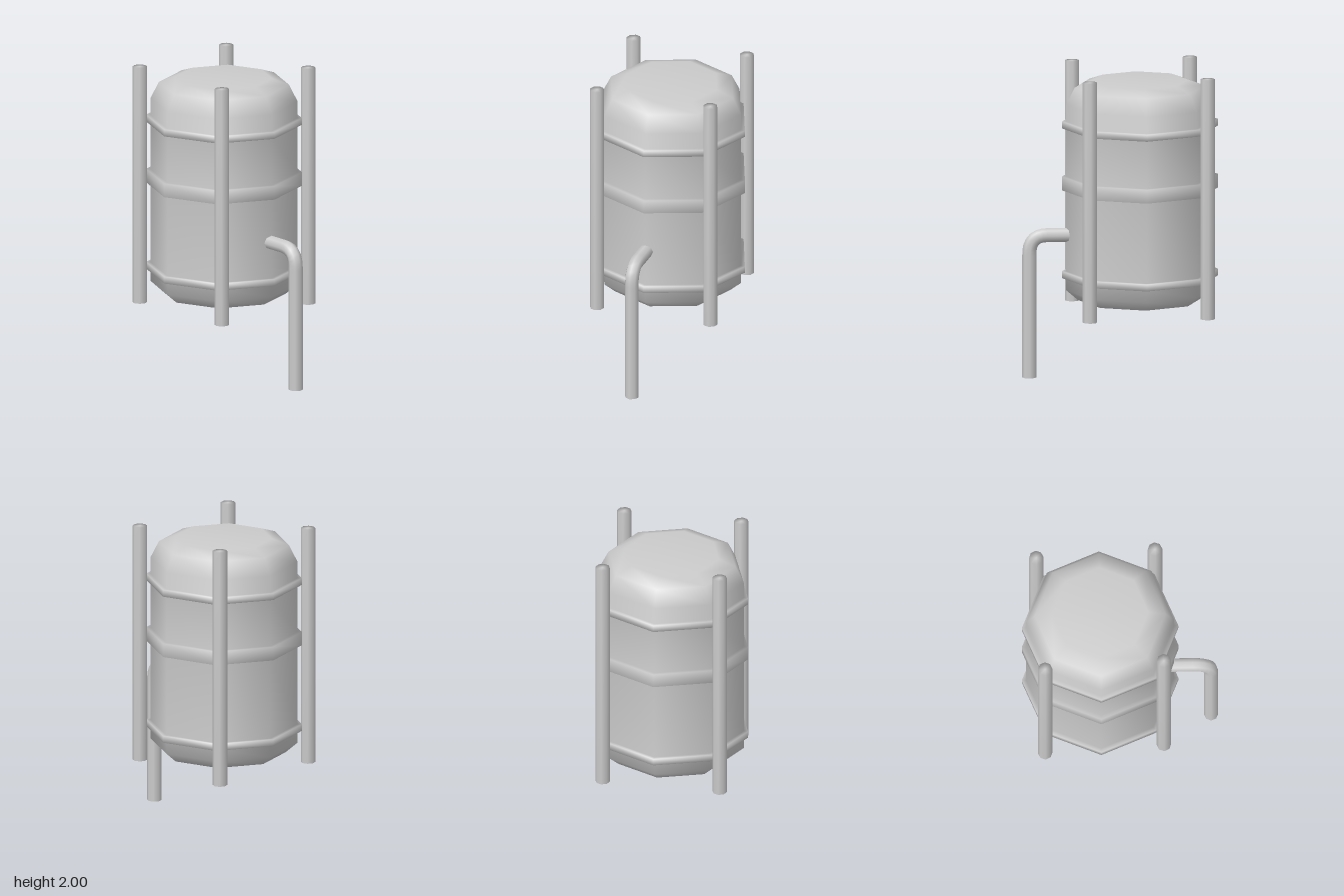
import * as THREE from 'three';

export function createModel() {
  const model = new THREE.Group();
  const metal = new THREE.MeshStandardMaterial({ color: 0xcccccc });
  metal.name = 'paleGrey';

  const add = (parent, name, geometry) => {
    const mesh = new THREE.Mesh(geometry, metal);
    mesh.name = name;
    parent.add(mesh);
    return mesh;
  };
  // Eight-sided turned shape, profile listed from bottom to top
  const turned = (points) =>
    new THREE.LatheGeometry(points.map(([r, y]) => new THREE.Vector2(r, y)), 8);

  // Everything but the pipe is arranged around the tank's axis
  const tankGroup = new THREE.Group();
  tankGroup.name = 'tankAssembly';
  tankGroup.position.z = -0.13;
  model.add(tankGroup);

  // Tank body with three raised hoops and a domed lid
  const R = 0.475, H = 0.503;
  const hoops = [[0.645, 0.69], [1.22, 1.31], [1.625, 1.67]];
  const profile = [[0, 0.5], [0.4, 0.5], [R, 0.565]];
  for (const [low, high] of hoops) profile.push([R, low], [H, low], [H, high], [R, high]);
  profile.push([R, 1.78], [0.42, 1.89], [0.31, 1.93], [0, 1.93]);
  add(tankGroup, 'tank', turned(profile));

  // Four support posts, evenly spaced
  const post = turned([[0, 0.43], [0.047, 0.43], [0.047, 2], [0, 2]]);
  for (let i = 0; i < 4; i++) {
    const angle = THREE.MathUtils.degToRad(48.3 + i * 90);
    const mesh = add(tankGroup, 'post' + (i + 1), post);
    mesh.position.set(0.541 * Math.sin(angle), 0, 0.541 * Math.cos(angle));
    mesh.rotation.y = angle;
  }

  // Bent outlet pipe running from the ground into the tank
  const p = (y, z) => new THREE.Vector3(0, y, z);
  const path = new THREE.CurvePath();
  path.add(new THREE.LineCurve3(p(0, 0.583), p(0.81, 0.583)));
  path.add(new THREE.QuadraticBezierCurve3(p(0.81, 0.583), p(0.928, 0.583), p(0.928, 0.47)));
  path.add(new THREE.LineCurve3(p(0.928, 0.47), p(0.928, 0.325)));
  const pipe = new THREE.Group();
  pipe.name = 'outletPipe';
  model.add(pipe);
  add(pipe, 'pipe', new THREE.TubeGeometry(path, 40, 0.046, 8, false));
  add(pipe, 'pipeFoot', new THREE.CircleGeometry(0.046, 8).rotateX(Math.PI / 2)).position.z = 0.583;
  add(pipe, 'pipeEnd', new THREE.CircleGeometry(0.046, 8).rotateX(Math.PI)).position.set(0, 0.928, 0.325);

  return model;
}
